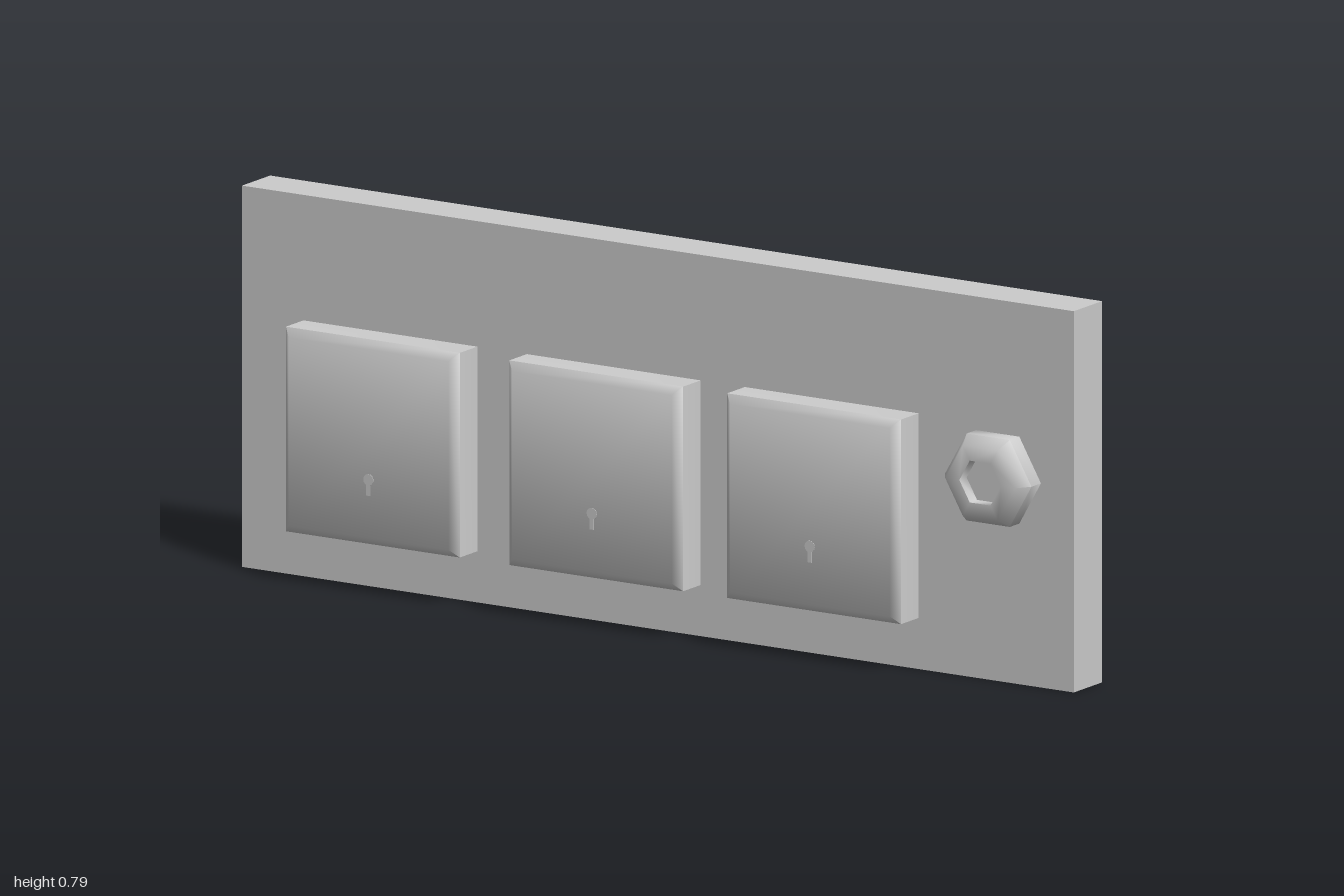
import * as THREE from 'three';
import { toCreasedNormals } from 'three/addons/utils/BufferGeometryUtils.js';

const material = new THREE.MeshStandardMaterial({ color: 0xcccccc, side: THREE.DoubleSide });

// Cross-sections, counter-clockwise as seen from the front
const rect = (w, h, z) => [[-1, -1], [1, -1], [1, 1], [-1, 1]].map(([x, y]) => [x * w / 2, y * h / 2, z]);
const hex = (r, z) => Array.from({ length: 6 }, (_, i) => {
  const a = i * Math.PI / 3;
  return [r * Math.cos(a), r * Math.sin(a), z];
});

// Thin shell through the rings from back to front: open behind, capped at the last ring
function shell(name, rings, crease) {
  const n = rings[0].length;
  const index = [];
  for (let k = 0; k < rings.length - 1; k++) {
    for (let i = 0; i < n; i++) {
      const a = k * n + i, b = k * n + (i + 1) % n;
      index.push(a, b, b + n, a, b + n, a + n);
    }
  }
  const last = (rings.length - 1) * n;
  for (let i = 1; i < n - 1; i++) index.push(last, last + i, last + i + 1);
  const geometry = new THREE.BufferGeometry();
  geometry.setAttribute('position', new THREE.Float32BufferAttribute(rings.flat(2), 3));
  geometry.setIndex(index);
  const mesh = new THREE.Mesh(toCreasedNormals(geometry, crease), material);
  mesh.name = name;
  return mesh;
}

// Keyhole peg: round head on a narrow stem, running back through the panel
function keyhole() {
  const r = 0.012, stem = 0.005, a = Math.asin(stem / r);
  const shape = new THREE.Shape();
  shape.moveTo(-stem, -0.033);
  shape.lineTo(stem, -0.033);
  shape.absarc(0, 0, r, -Math.PI / 2 + a, Math.PI * 1.5 - a, false);
  shape.closePath();
  const geometry = new THREE.ExtrudeGeometry(shape, { depth: 0.169, bevelEnabled: false, curveSegments: 8 });
  const mesh = new THREE.Mesh(geometry, material);
  mesh.name = 'keyhole';
  mesh.position.set(0, -0.075, -0.075);
  return mesh;
}

export function createModel() {
  const model = new THREE.Group();
  model.name = 'wallPanel';

  // Back plate, open behind
  const plate = shell('backPlate', [rect(2, 0.79, -0.0925), rect(2, 0.79, 0.012)], 0.5);
  plate.position.y = 0.395;
  model.add(plate);

  // Three square lock covers with chamfered fronts
  [-0.643, -0.106, 0.418].forEach((x, i) => {
    const lock = new THREE.Group();
    lock.name = 'lock' + (i + 1);
    lock.position.set(x, 0.318, 0);
    lock.add(shell('lockCover', [
      rect(0.418, 0.424, -0.014),
      rect(0.418, 0.424, 0.077),
      rect(0.384, 0.39, 0.093),
    ], 1.1), keyhole());
    model.add(lock);
  });

  // Hexagonal knob with a socket in its face
  const knob = shell('hexKnob', [
    hex(0.104, 0.004), hex(0.104, 0.047), hex(0.084, 0.077), hex(0.05, 0.077), hex(0.05, 0.05),
  ], 1.1);
  knob.position.set(0.817, 0.423, 0);
  model.add(knob);

  return model;
}
